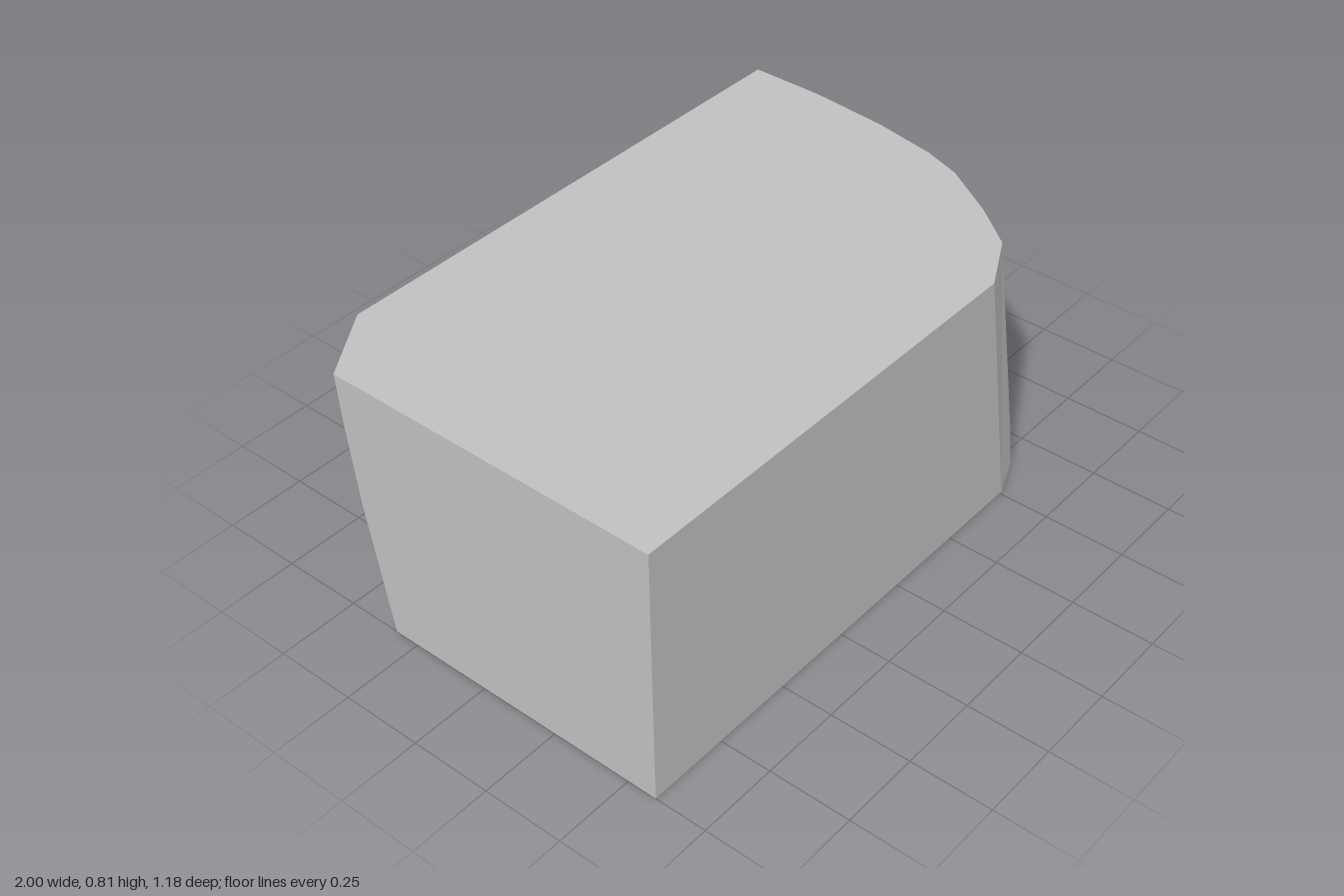
import * as THREE from 'three';

const H = 0.81, D = 0.59;
const grey = new THREE.MeshStandardMaterial({ color: 0xc0c0c0, flatShading: true });
grey.name = 'plain grey';
const centre = new THREE.Vector3(0, 0.4, 0);

// Builds one mesh from convex polygons, each turned to face away from the block's centre
function panel(name, polygons) {
  const pos = [];
  for (const poly of polygons) {
    const p = poly.map(c => new THREE.Vector3(...c));
    for (let i = 1; i < p.length - 1; i++) {
      const [a, b, c] = [p[0], p[i], p[i + 1]];
      const n = b.clone().sub(a).cross(c.clone().sub(a));
      if (n.length() < 1e-7) continue;
      const out = n.dot(a.clone().sub(centre)) > 0;
      for (const v of out ? [a, b, c] : [a, c, b]) pos.push(v.x, v.y, v.z);
    }
  }
  const geo = new THREE.BufferGeometry();
  geo.setAttribute('position', new THREE.Float32BufferAttribute(pos, 3));
  geo.computeVertexNormals();
  const mesh = new THREE.Mesh(geo, grey);
  mesh.name = name;
  return mesh;
}

export function createModel() {
  const group = new THREE.Group();
  group.name = 'block';

  // Curved end: matching [x, z] points of the top and bottom rims, front to back
  const topRim = [[0.37, D], [0.54, 0.5], [0.54, 0.5], [0.64, 0.37], [0.745, 0.2],
    [0.785, 0.08], [0.82, -0.12], [0.84, -0.36], [0.84, -D]].map(([x, z]) => [x, H, z]);
  const bottomRim = [[0.51, D], [0.63, 0.54], [0.75, 0.46], [0.75, 0.46], [0.86, 0.35],
    [0.97, 0.12], [0.97, 0.12], [1, -0.12], [0.985, -D]].map(([x, z]) => [x, 0, z]);

  // Cut corner: edges along the back face and the flat end, top to bottom
  const backEdge = [[-0.79, H, -D], [-0.77, 0.65, -D], [-0.6, 0.41, -D], [-0.14, 0, -D]];
  const endEdge = [[-1, H, -0.45], [-1, 0.65, -0.435], [-1, 0.41, -0.405], [-1, 0, -0.33]];
  const topFront = [-1, H, D], bottomFront = [-1, 0, D];
  const last = topRim.length - 1;

  const curve = [];
  for (let i = 0; i < last; i++) {
    curve.push([bottomRim[i], bottomRim[i + 1], topRim[i + 1]], [bottomRim[i], topRim[i + 1], topRim[i]]);
  }

  group.add(
    panel('top', [[topFront, ...topRim, backEdge[0], endEdge[0]]]),
    panel('bottom', [[bottomFront, ...bottomRim, backEdge[3], endEdge[3]]]),
    panel('front', [[bottomFront, bottomRim[0], topRim[0], topFront]]),
    panel('back', [[topRim[last], ...backEdge, bottomRim[last]]]),
    panel('flatEnd', [[topFront, ...endEdge, bottomFront]]),
    panel('curvedEnd', curve),
    panel('cutCorner', [
      [backEdge[0], endEdge[0], endEdge[1]],
      [backEdge[0], endEdge[1], backEdge[1]],
      [backEdge[1], endEdge[1], endEdge[2]],
      [backEdge[1], endEdge[2], endEdge[3]],
      [backEdge[1], endEdge[3], backEdge[2]],
      [backEdge[2], endEdge[3], backEdge[3]],
    ]),
  );
  return group;
}
